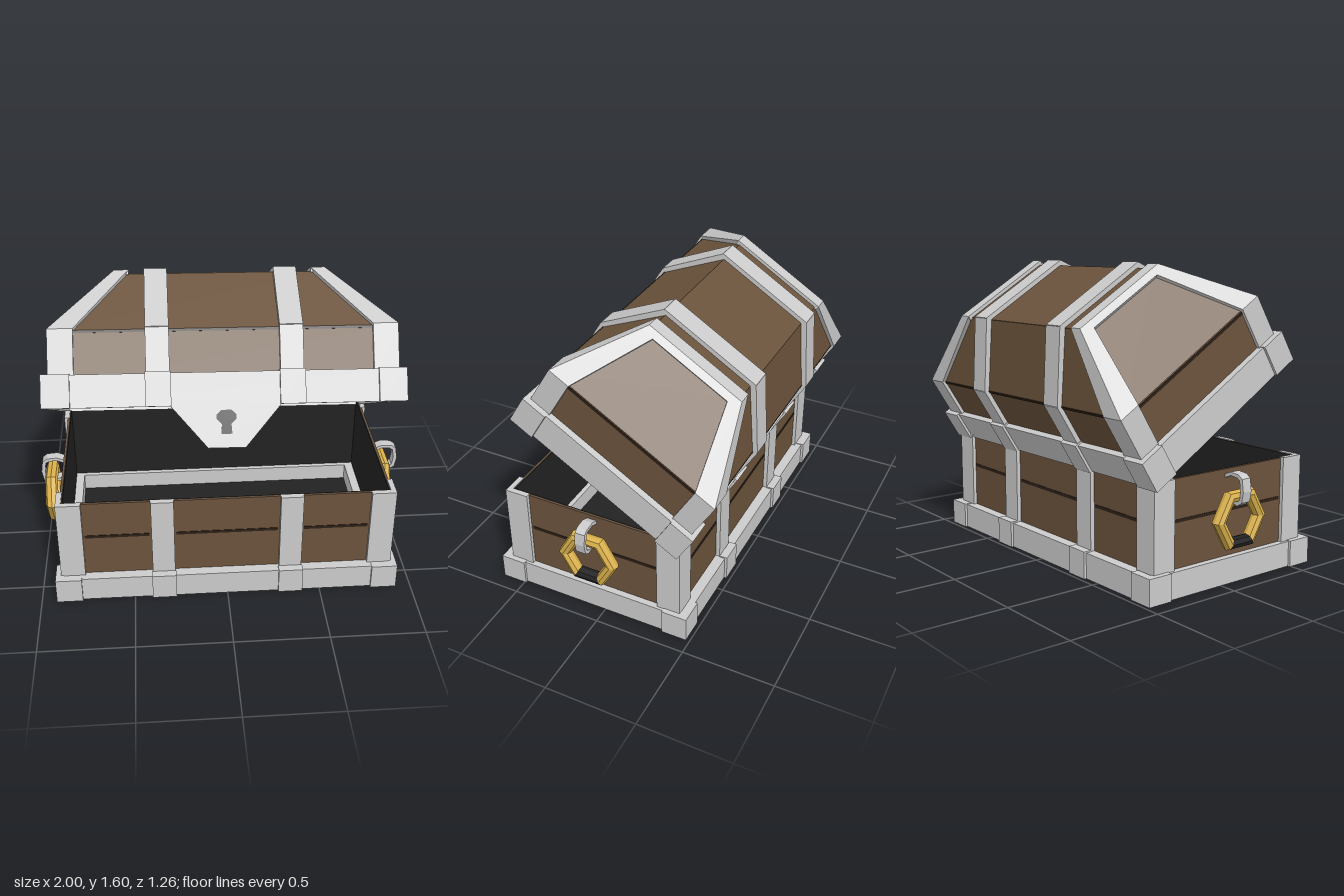
import * as THREE from 'three';

const mat = (color) => new THREE.MeshStandardMaterial({ color, flatShading: true, side: THREE.DoubleSide });

export function createModel() {
  const metal = mat(0xcccccc), wood = mat(0x6b533c), dark = mat(0x2e2118);
  const black = mat(0x222222), gold = mat(0xdcb24c);
  const model = new THREE.Group();
  model.name = 'treasureChest';

  const add = (parent, name, geo, material, x = 0, y = 0, z = 0) => {
    const m = new THREE.Mesh(geo, material);
    m.name = name;
    m.position.set(x, y, z);
    parent.add(m);
    return m;
  };
  // box given by its minimum and maximum on each axis
  const box = (parent, name, material, x0, x1, y0, y1, z0, z1) =>
    add(parent, name, new THREE.BoxGeometry(Math.abs(x1 - x0), y1 - y0, Math.abs(z1 - z0)), material,
      (x0 + x1) / 2, (y0 + y1) / 2, (z0 + z1) / 2);

  // slab from a flat convex polygon, reaching `out` outward and `inn` inward
  const centre = new THREE.Vector3(0, 0.25, 0);
  const slab = (parent, name, material, points, out, inn) => {
    let p = points.map((a) => new THREE.Vector3(...a));
    const normalOf = (q) => q[1].clone().sub(q[0]).cross(q[2].clone().sub(q[0])).normalize();
    if (normalOf(p).dot(p[0].clone().sub(centre)) < 0) p = p.reverse();
    const n = normalOf(p), pos = [];
    const top = p.map((a) => a.clone().addScaledVector(n, out));
    const low = p.map((a) => a.clone().addScaledVector(n, -inn));
    const tri = (...v) => v.forEach((a) => pos.push(a.x, a.y, a.z));
    for (let i = 0; i < p.length; i++) {
      const j = (i + 1) % p.length;
      if (i > 0 && j > 0) {
        tri(top[0], top[i], top[j]);
        tri(low[0], low[j], low[i]);
      }
      tri(low[i], low[j], top[j]);
      tri(low[i], top[j], top[i]);
    }
    const g = new THREE.BufferGeometry();
    g.setAttribute('position', new THREE.Float32BufferAttribute(pos, 3));
    g.computeVertexNormals();
    add(parent, name, g, material);
  };

  const SIDES = [-1, 1];
  const W = 0.89, D = 0.505;          // half width and half depth of the chest
  const B0 = 0.28, B1 = 0.4;          // inner and outer edge of the straps

  // metal frame with raised corners and strap blocks
  const rim = (parent, y0, y1, X, Z, t) => {
    const r = 0.014;
    for (const s of SIDES) {
      box(parent, 'rimLong', metal, -X, X, y0, y1 - 0.004, s * (Z - t), s * Z);
      box(parent, 'rimShort', metal, s * (X - t), s * X, y0, y1 - 0.004, -Z + t, Z - t);
      for (const q of SIDES) {
        box(parent, 'rimCornerLong', metal, q * 0.78, q * (X + r), y0, y1, s * (Z - 0.03), s * (Z + r));
        box(parent, 'rimCornerShort', metal, q * (X - 0.03), q * (X + r), y0, y1, s * (Z - 0.125), s * (Z - 0.03));
        box(parent, 'rimStrapBlock', metal, q * (B0 - 0.005), q * (B1 + 0.005), y0, y1 + 0.004, s * (Z - 0.03), s * (Z + r));
      }
    }
  };

  // ---- lower chest ----
  const base = new THREE.Group();
  base.name = 'base';
  base.position.z = 0.075;
  model.add(base);
  const H = 0.59;
  rim(base, 0, 0.14, W + 0.015, 0.541, 0.1);
  box(base, 'bottomBoards', wood, -0.85, 0.85, 0.012, 0.03, -0.48, 0.48);
  box(base, 'innerFloor', black, -0.85, 0.85, 0.031, 0.04, -0.48, 0.48);
  for (const s of SIDES) {
    box(base, 'bottomStrap', metal, s * B0, s * B1, 0, 0.02, -0.5, 0.5);
    box(base, 'longWall', wood, -0.87, 0.87, 0.02, H - 0.004, s * 0.475, s * 0.485);
    box(base, 'shortWall', wood, s * 0.86, s * 0.87, 0.02, H - 0.004, -0.475, 0.475);
    box(base, 'longLining', black, -0.86, 0.86, 0.03, H - 0.004, s * 0.468, s * 0.475);
    box(base, 'shortLining', black, s * 0.853, s * 0.86, 0.03, H - 0.004, -0.47, 0.47);
    box(base, 'shortBoardGap', dark, s * 0.865, s * 0.873, 0.367, 0.383, -0.365, 0.365);
    for (const [a, b] of [[-0.75, -0.41], [-0.27, 0.27], [0.41, 0.75]])
      box(base, 'longBoardGap', dark, a, b, 0.367, 0.383, s * 0.48, s * 0.488);
    for (const q of SIDES) {
      box(base, 'cornerPostLong', metal, q * 0.76, q * W, 0.1, H, s * 0.477, s * D);
      box(base, 'cornerPostShort', metal, q * 0.862, q * W, 0.1, H, s * 0.375, s * 0.477);
      box(base, 'strap', metal, q * B0, q * B1, 0.1, H, s * 0.477, s * (D + 0.003));
    }
  }

  // ---- ring handles ----
  for (const s of SIDES) {
    const handle = new THREE.Group();
    handle.name = s > 0 ? 'leftHandle' : 'rightHandle';
    base.add(handle);
    const x = s > 0 ? 0.92 : -0.945;
    for (const [name, m, segs, start] of [['ring', gold, 5, -60], ['ringGrip', black, 1, 240]]) {
      const g = new THREE.TorusGeometry(0.137, 0.035, 8, segs, segs * Math.PI / 3);
      g.rotateZ(THREE.MathUtils.degToRad(start));
      g.rotateY(Math.PI / 2);
      add(handle, name, g, m, x, 0.345, 0);
    }
    // bent flat staple holding the ring
    const outer = [[0.865, 0.56], [0.91, 0.578], [0.965, 0.573], [0.99, 0.555], [1, 0.49], [0.99, 0.435], [0.96, 0.415], [0.89, 0.43]];
    const inner = [[0.89, 0.447], [0.952, 0.434], [0.973, 0.447], [0.98, 0.49], [0.972, 0.545], [0.955, 0.556], [0.912, 0.56], [0.865, 0.54]];
    const shape = new THREE.Shape([...outer, ...inner].map(([a, b]) => new THREE.Vector2(s * a, b)));
    add(handle, 'staple', new THREE.ExtrudeGeometry(shape, { depth: 0.056, bevelEnabled: false }), metal, 0, 0, -0.028);
  }

  // ---- open lid: hipped shell ----
  const lid = new THREE.Group();
  lid.name = 'lid';
  lid.position.set(0, 0.82, 0.018);
  lid.rotation.set(-0.548, 0, -0.013);
  model.add(lid);
  rim(lid, 0, 0.172, W + 0.02, 0.517, 0.045);

  // stations: 0 wall foot, 1 crease, 2 top edge; e insets the shell
  const V = [0.12, 0.4, 0.723], DZ = [D, D, 0.282], WX = [W, W, 0.555];
  const at = (arr, t) => {
    const i = Math.min(1, Math.floor(t));
    return arr[i] + (arr[i + 1] - arr[i]) * (t - i);
  };
  const F = (s, x, t, e = 0) => [x, at(V, t) - e * t / 2, s * (at(DZ, t) - e)];
  const E = (s, z, t, e = 0) => [s * (at(WX, t) - e), at(V, t) - e * t / 2, z];
  const e = 0.018;
  for (const s of SIDES) {
    for (const t of [0, 1]) {
      const w0 = at(WX, t) - e, w1 = WX[t + 1] - e, d0 = at(DZ, t) - e, d1 = DZ[t + 1] - e;
      slab(lid, 'longBoards', wood, [F(s, -w0, t, e), F(s, w0, t, e), F(s, w1, t + 1, e), F(s, -w1, t + 1, e)], 0, 0.004);
      slab(lid, 'endBoards', wood, [E(s, -d0, t, e), E(s, d0, t, e), E(s, d1, t + 1, e), E(s, -d1, t + 1, e)], 0, 0.004);
      const cx = [0.76, 0.76, 0.48], cz = [0.385, 0.385, 0.212];
      for (const q of SIDES) {
        slab(lid, 'longCornerStrip', metal, [F(s, q * cx[t], t), F(s, q * WX[t], t),
          F(s, q * WX[t + 1], t + 1), F(s, q * cx[t + 1], t + 1)], 0, 0.028);
        slab(lid, 'endCornerStrip', metal, [E(s, q * cz[t], t), E(s, q * DZ[t], t),
          E(s, q * DZ[t + 1], t + 1), E(s, q * cz[t + 1], t + 1)], 0, 0.028);
        slab(lid, 'strap', metal, [F(s, q * B0, t), F(s, q * B1, t), F(s, q * B1, t + 1), F(s, q * B0, t + 1)], 0.006, 0.028);
      }
    }
    slab(lid, 'endTopStrip', metal, [E(s, -0.29, 1.91), E(s, 0.29, 1.91), E(s, 0.28, 2), E(s, -0.28, 2)], 0, 0.028);
    box(lid, 'topEdgeStrip', metal, s * 0.48, s * 0.555, V[2] - 0.026, V[2], -0.282, 0.282);
    box(lid, 'topStrap', metal, s * B0, s * B1, V[2] - 0.026, V[2] + 0.006, -0.285, 0.285);
    // dark gaps between boards
    box(lid, 'longBoardGap', dark, -0.77, 0.77, 0.378, 0.392, s * 0.482, s * 0.49);
    box(lid, 'endBoardGap', dark, s * 0.866, s * 0.875, 0.37, 0.384, -0.39, 0.39);
  }
  box(lid, 'topBoards', wood, -0.54, 0.54, V[2] - 0.023, V[2] - 0.018, -0.266, 0.266);

  // ---- lock plate with keyhole ----
  const plate = new THREE.Shape([[-0.28, 0.03], [-0.28, 0], [-0.095, -0.215], [0.095, -0.215], [0.28, 0], [0.28, 0.03]]
    .map((p) => new THREE.Vector2(...p)));
  add(lid, 'lockPlate', new THREE.ExtrudeGeometry(plate, { depth: 0.024, bevelEnabled: false }), metal, 0, 0, 0.496);
  const keyhole = new THREE.Shape([[-0.028, -0.145], [0.028, -0.145], [0.024, -0.095], [0.05, -0.07], [0.05, -0.048],
    [0.026, -0.024], [-0.026, -0.024], [-0.05, -0.048], [-0.05, -0.07], [-0.024, -0.095]].map((p) => new THREE.Vector2(...p)));
  add(lid, 'keyhole', new THREE.ExtrudeGeometry(keyhole, { depth: 0.028, bevelEnabled: false }), black, 0, 0, 0.494);

  return model;
}
